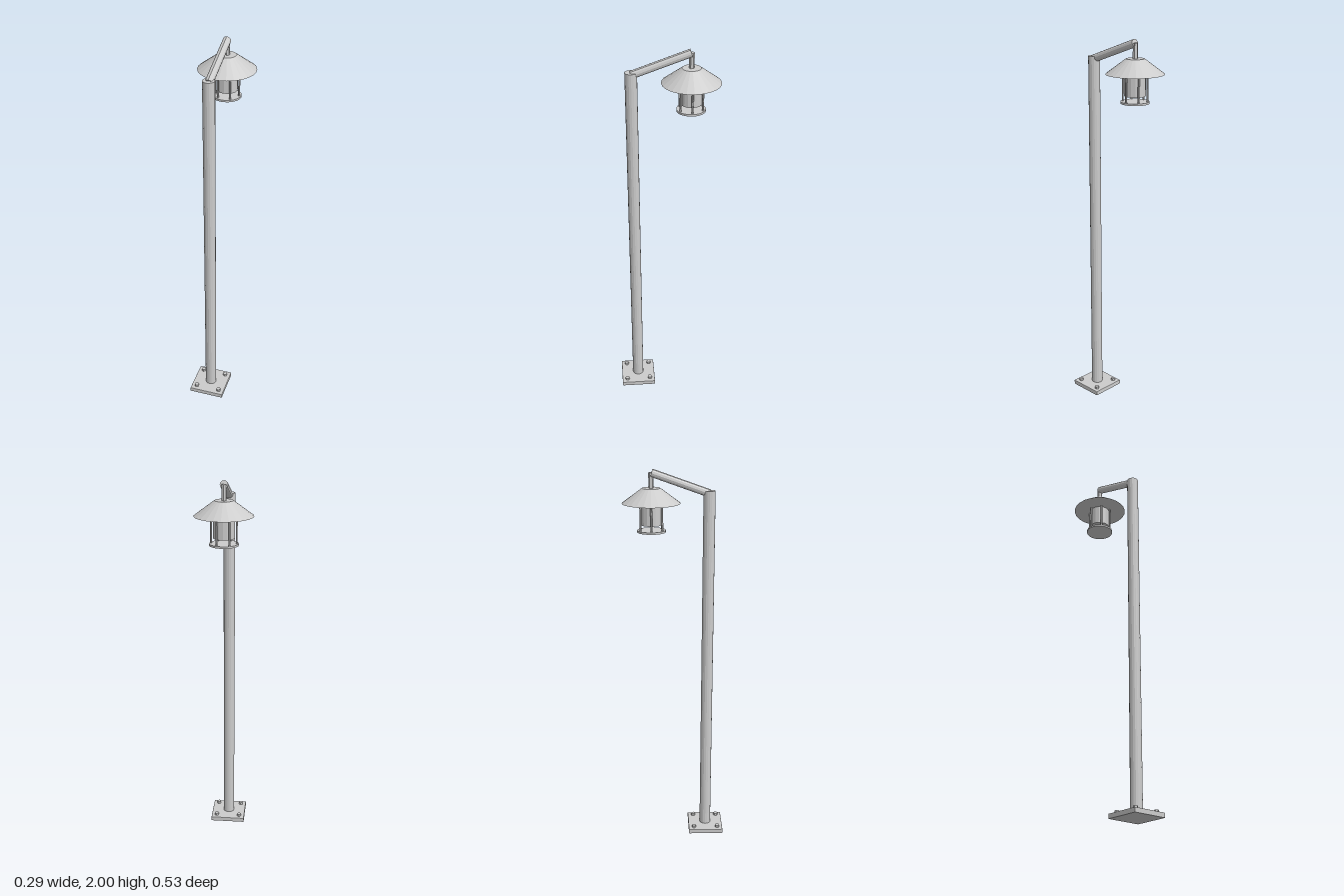
import * as THREE from 'three';
import { RoundedBoxGeometry } from 'three/addons/geometries/RoundedBoxGeometry.js';

const POLE_Z = 0.168;
const LAMP_Z = -0.12;

export function createModel() {
  const model = new THREE.Group();
  model.name = 'streetLamp';
  const flat = new THREE.MeshStandardMaterial({ color: 0xcccccc, flatShading: true });

  // Upright tapered cylinder between two heights
  function post(name, parent, rTop, rBottom, y0, y1, sides, x = 0, z = 0) {
    const geometry = new THREE.CylinderGeometry(rTop, rBottom, y1 - y0, sides);
    const mesh = new THREE.Mesh(geometry, flat);
    mesh.position.set(x, (y0 + y1) / 2, z);
    mesh.name = name;
    parent.add(mesh);
    return mesh;
  }

  // Base plate with softened edges and four hex bolts
  const base = new THREE.Group();
  base.name = 'base';
  base.position.z = POLE_Z;
  const plate = new THREE.Mesh(new RoundedBoxGeometry(0.188, 0.025, 0.188, 1, 0.003), flat);
  plate.name = 'basePlate';
  plate.position.y = 0.0125;
  base.add(plate);
  for (const x of [-0.065, 0.065]) {
    for (const z of [-0.065, 0.065]) post('bolt', base, 0.012, 0.012, 0.02, 0.038, 6, x, z);
  }
  model.add(base);

  // Pole
  post('pole', model, 0.03, 0.03, 0.02, 1.893, 16, 0, POLE_Z);

  // Sloping arm from the pole top to above the lantern
  const start = new THREE.Vector3(0, 1.88, POLE_Z);
  const end = new THREE.Vector3(0, 1.981, -0.118);
  const along = end.clone().sub(start);
  const arm = new THREE.Mesh(new THREE.CylinderGeometry(0.02, 0.02, along.length(), 12), flat);
  arm.name = 'arm';
  arm.position.copy(start).add(end).multiplyScalar(0.5);
  arm.quaternion.setFromUnitVectors(new THREE.Vector3(0, 1, 0), along.normalize());
  model.add(arm);

  // Lantern: stem, conical shade, lamp body, guard rods and bottom disc
  const lantern = new THREE.Group();
  lantern.name = 'lantern';
  lantern.position.z = LAMP_Z;
  post('stem', lantern, 0.013, 0.013, 1.9, 1.982, 6);
  post('shade', lantern, 0.046, 0.146, 1.833, 1.907, 24);
  post('lampBody', lantern, 0.053, 0.053, 1.726, 1.84, 16);
  post('bottomDisc', lantern, 0.072, 0.072, 1.69, 1.7, 24);
  for (let i = 0; i < 6; i++) {
    const a = (i * Math.PI) / 3;
    post('guardRod', lantern, 0.005, 0.005, 1.695, 1.84, 6, 0.062 * Math.cos(a), 0.062 * Math.sin(a));
  }
  model.add(lantern);

  return model;
}
